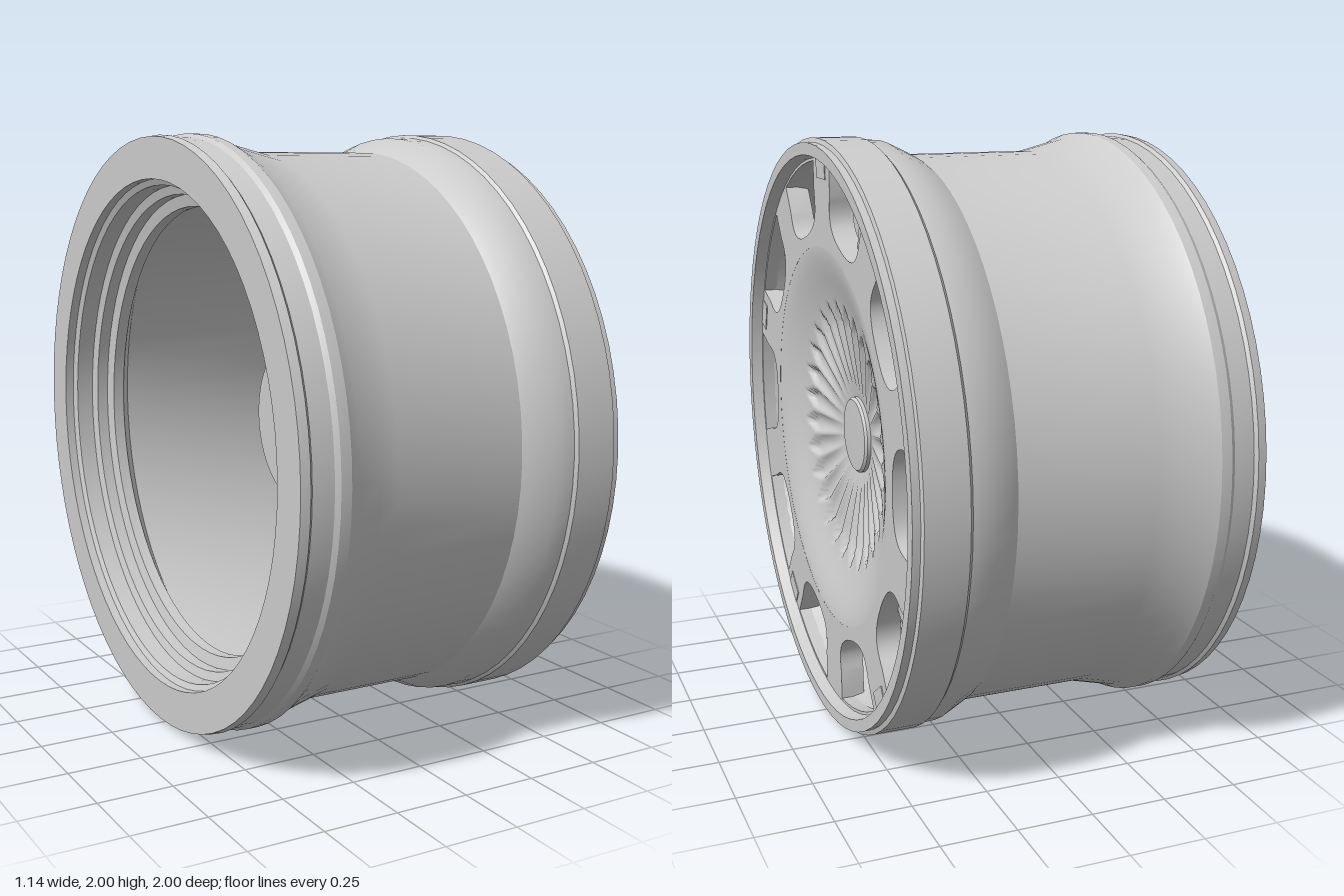
import * as THREE from 'three';
import { toCreasedNormals } from 'three/addons/utils/BufferGeometryUtils.js';

const WINDOWS = 10, FLUTES = 28;

export function createModel() {
  const model = new THREE.Group();
  model.name = 'wheelRim';
  // Built with the axle along z, then turned so the face looks along +x
  const wheel = new THREE.Group();
  wheel.name = 'wheel';
  wheel.rotation.y = Math.PI / 2;
  wheel.position.y = 1;
  model.add(wheel);

  const material = new THREE.MeshStandardMaterial({ color: 0xcccccc, side: THREE.DoubleSide });
  const add = (name, geometry, parent = wheel) => {
    const mesh = new THREE.Mesh(geometry, material);
    mesh.name = name;
    parent.add(mesh);
    return mesh;
  };
  // Revolves [radius, axial] pairs about the axle
  const turned = (points, segments = 72) => toCreasedNormals(
    new THREE.LatheGeometry(points.map(([r, a]) => new THREE.Vector2(r, a)), segments).rotateX(Math.PI / 2), 0.45);
  const step = (v, a, b) => THREE.MathUtils.smoothstep(v, a, b);

  // Barrel: outer drop centre and bead seats, then back along the inside
  add('barrel', turned([
    [0.85, -0.57], [0.985, -0.57], [0.99, -0.54], [0.98, -0.53], [0.985, -0.46], [0.995, -0.445],
    [0.995, -0.41], [0.975, -0.37], [0.955, -0.29], [0.938, -0.22], [0.938, 0.23], [0.95, 0.25], [0.988, 0.33],
    [0.99, 0.39], [1, 0.4], [1, 0.54], [0.985, 0.545], [0.985, 0.57], [0.945, 0.57],
    [0.935, 0.53], [0.92, 0.46], [0.89, 0.39], [0.89, -0.3], [0.76, -0.37], [0.76, -0.41],
    [0.8, -0.42], [0.8, -0.46], [0.83, -0.47], [0.83, -0.53], [0.85, -0.54], [0.85, -0.57],
  ]));

  // Hub boss at the back, widening into a disc behind the face
  add('hub', turned([
    [0, -0.03], [0.29, -0.03], [0.3, -0.02], [0.3, 0.3], [0.36, 0.38], [0.77, 0.385], [0.77, 0.4], [0, 0.4],
  ]));

  // Face plate: flat ring with rounded windows
  const plate = new THREE.Shape().absarc(0, 0, 0.94, 0, Math.PI * 2, false);
  plate.holes.push(new THREE.Path().absarc(0, 0, 0.645, 0, Math.PI * 2, true));
  const half = new THREE.CurvePath();
  half.add(new THREE.LineCurve(new THREE.Vector2(0.905, 0.195), new THREE.Vector2(0.81, 0.165)));
  half.add(new THREE.CubicBezierCurve(new THREE.Vector2(0.81, 0.165), new THREE.Vector2(0.74, 0.16),
    new THREE.Vector2(0.69, 0.14), new THREE.Vector2(0.69, 0)));
  const side = half.getPoints(12);
  const outer = Array.from({ length: 7 }, (_, i) => {
    const a = THREE.MathUtils.lerp(-0.19, 0.19, i / 6);
    return new THREE.Vector2(0.925 * Math.cos(a), 0.925 * Math.sin(a));
  });
  const outline = [...side, ...side.slice(0, -1).reverse().map(p => new THREE.Vector2(p.x, -p.y)), ...outer];
  for (let i = 0; i < WINDOWS; i++) {
    const turn = i / WINDOWS * Math.PI * 2;
    plate.holes.push(new THREE.Path(outline.map(p => p.clone().rotateAround(new THREE.Vector2(), turn))));
  }
  const plateGeometry = new THREE.ExtrudeGeometry(plate, { depth: 0.08, bevelEnabled: false, curveSegments: 72 });
  add('facePlate', toCreasedNormals(plateGeometry.translate(0, 0, 0.45), 0.6));

  // Dish: shallow bowl with a sunburst of scooped flutes
  const dish = new THREE.RingGeometry(0.1, 0.65, FLUTES * 8, 44);
  const pos = dish.attributes.position;
  for (let i = 0; i < pos.count; i++) {
    const x = pos.getX(i), y = pos.getY(i), r = Math.hypot(x, y);
    const phase = (Math.atan2(y, x) / (Math.PI * 2) * FLUTES + FLUTES) % 1;
    const s = Math.abs(phase * 2 - 1);
    const end = 0.46 - 0.08 * s;
    const scoop = 0.018 * step(r, 0.13, 0.38) * (1 - s * s) * (1 - step(r, end - 0.02, end));
    const bowl = 0.03 * (1 - step(r, 0.42, 0.65)) + 0.11 * Math.max(0, 1 - r / 0.65) ** 1.3;
    pos.setZ(i, 0.53 - bowl - scoop);
  }
  dish.computeVertexNormals();
  add('flutedDish', dish);

  // Centre cap
  add('centreCap', turned([[0.13, 0.4], [0.13, 0.43], [0.122, 0.438], [0, 0.44]], 48));

  // Ribs behind each window, with a low web on the lower side
  const ribProfile = new THREE.Shape();
  ribProfile.moveTo(-0.05, 0.39);
  ribProfile.lineTo(0.05, 0.39);
  ribProfile.lineTo(0.05, 0.445);
  ribProfile.quadraticCurveTo(0.045, 0.47, 0.02, 0.47);
  ribProfile.lineTo(-0.02, 0.47);
  ribProfile.quadraticCurveTo(-0.045, 0.47, -0.05, 0.445);
  const rib = new THREE.ExtrudeGeometry(ribProfile, { depth: 0.26, bevelEnabled: false, curveSegments: 6 });
  // Profile width to y, profile height to z, length along the radius
  rib.applyMatrix4(new THREE.Matrix4().makeBasis(
    new THREE.Vector3(0, 1, 0), new THREE.Vector3(0, 0, 1), new THREE.Vector3(1, 0, 0)));
  const ribGeometry = toCreasedNormals(rib.translate(0.66, 0, 0), 0.6);

  const webShape = new THREE.Shape();
  webShape.moveTo(0.66, -0.03);
  webShape.lineTo(0.66, -0.18);
  webShape.lineTo(0.72, -0.18);
  webShape.quadraticCurveTo(0.8, -0.15, 0.88, -0.04);
  webShape.lineTo(0.88, -0.03);
  const webGeometry = new THREE.ExtrudeGeometry(webShape, { depth: 0.03, bevelEnabled: false }).translate(0, 0, 0.395);
  const tabGeometry = new THREE.BoxGeometry(0.06, 0.1, 0.01).translate(0.9, 0, 0.528);

  for (let i = 0; i < WINDOWS; i++) {
    const spoke = new THREE.Group();
    spoke.name = 'windowRib';
    spoke.rotation.z = i / WINDOWS * Math.PI * 2;
    add('rib', ribGeometry, spoke);
    add('ribWeb', webGeometry, spoke).scale.y = Math.cos(spoke.rotation.z) < 0 ? -1 : 1;
    if (i % 2 === 0) add('edgeTab', tabGeometry, spoke).rotation.z = Math.PI / WINDOWS;
    wheel.add(spoke);
  }
  return model;
}
